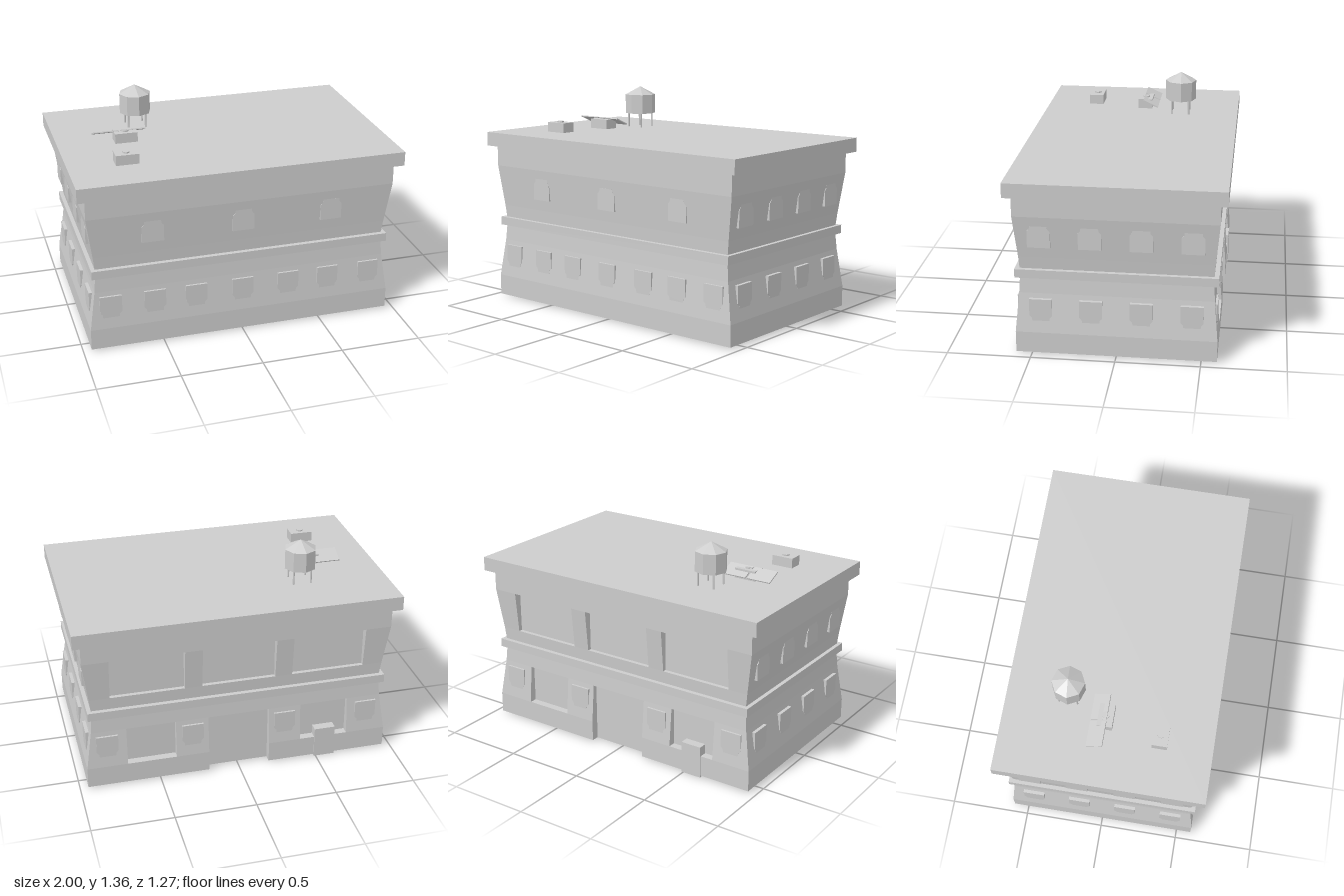
import * as THREE from 'three';

// Wall profile from the ground up: [height, half width, half depth]
const PROFILE = [
  [0.01, 0.95, 0.593], [0.14, 0.95, 0.593], [0.38, 0.914, 0.571], [0.48, 0.905, 0.565],
  [0.53, 0.905, 0.565], [0.61, 0.914, 0.57], [0.87, 0.95, 0.593], [1.0, 0.95, 0.593],
];
const RECESS_Z = -0.545;
// Recesses in the back wall: [x0, x1, first profile row, end row]
const RECESSES = [
  [-0.79, -0.335, 5, 6], [-0.228, 0.228, 5, 6], [0.335, 0.79, 5, 6],
  [-0.7, -0.395, 1, 2], [0.395, 0.7, 1, 2], [-0.192, 0.192, 0, 2],
];

function wallAt(y, col) {
  const k = Math.max(1, PROFILE.findIndex((p) => p[0] >= y));
  const a = PROFILE[k - 1], b = PROFILE[k];
  return THREE.MathUtils.lerp(a[col], b[col], (y - a[0]) / (b[0] - a[0]));
}

function wallGeometry() {
  const pos = [];
  const quad = (a, b, c, d) => pos.push(...a, ...b, ...c, ...a, ...c, ...d);
  const xs = [...new Set(RECESSES.flatMap((r) => [r[0], r[1]]))].sort((a, b) => a - b);
  const n = xs.length + 1;
  const xAt = (i, k) => (i === 0 ? -PROFILE[k][1] : i === n ? PROFILE[k][1] : xs[i - 1]);
  const open = (i, k) => i > 0 && i < n - 1 && RECESSES.some(
    (r) => xs[i - 1] >= r[0] && xs[i] <= r[1] && k >= r[2] && k < r[3]);

  for (let k = 0; k < PROFILE.length - 1; k++) {
    const [y0, w0, d0] = PROFILE[k], [y1, w1, d1] = PROFILE[k + 1];
    // front and both ends
    quad([-w0, y0, d0], [w0, y0, d0], [w1, y1, d1], [-w1, y1, d1]);
    quad([w0, y0, d0], [w0, y0, -d0], [w1, y1, -d1], [w1, y1, d1]);
    quad([-w0, y0, -d0], [-w0, y0, d0], [-w1, y1, d1], [-w1, y1, -d1]);
    // back wall with recesses, jambs, sills and lintels
    for (let i = 0; i < n; i++) {
      const o = open(i, k);
      const z0 = o ? RECESS_Z : -d0, z1 = o ? RECESS_Z : -d1;
      const a = xAt(i, k), b = xAt(i + 1, k), c = xAt(i + 1, k + 1), d = xAt(i, k + 1);
      quad([b, y0, z0], [a, y0, z0], [d, y1, z1], [c, y1, z1]);
      if (i > 0 && open(i - 1, k) !== o) {
        const q = [[a, y0, RECESS_Z], [a, y0, -d0], [a, y1, -d1], [a, y1, RECESS_Z]];
        quad(...(o ? q : q.reverse()));
      }
      if (k > 0 && open(i, k - 1) !== o) {
        const q = [[a, y0, RECESS_Z], [b, y0, RECESS_Z], [b, y0, -d0], [a, y0, -d0]];
        quad(...(o ? q : q.reverse()));
      }
    }
  }
  const g = new THREE.BufferGeometry();
  g.setAttribute('position', new THREE.Float32BufferAttribute(pos, 3));
  g.computeVertexNormals();
  return g;
}

export function createModel() {
  const model = new THREE.Group();
  const gray = new THREE.MeshStandardMaterial({ color: 0xcccccc });
  gray.name = 'light gray';
  const add = (name, geo, x = 0, y = 0, z = 0, parent = model) => {
    const m = new THREE.Mesh(geo, gray);
    m.name = name;
    m.position.set(x, y, z);
    parent.add(m);
    return m;
  };
  const box = (name, x0, x1, y0, y1, z0, z1) => add(name,
    new THREE.BoxGeometry(x1 - x0, y1 - y0, z1 - z0), (x0 + x1) / 2, (y0 + y1) / 2, (z0 + z1) / 2);
  const flat = (geo) => {
    const g = geo.toNonIndexed();
    g.computeVertexNormals();
    return g;
  };

  // Main shell
  add('walls', wallGeometry());
  const floor = new THREE.Shape([
    [-0.95, -0.593], [-0.192, -0.593], [-0.192, RECESS_Z], [0.192, RECESS_Z],
    [0.192, -0.593], [0.95, -0.593], [0.95, 0.593], [-0.95, 0.593],
  ].map((p) => new THREE.Vector2(...p)));
  add('floor', new THREE.ShapeGeometry(floor).rotateX(Math.PI / 2), 0, 0.01, 0);
  box('roof', -1, 1, 1.0, 1.088, -0.635, 0.635);
  box('middleBand', -0.93, 0.93, 0.48, 0.533, -0.593, 0.593);
  box('backDoor', -0.62, -0.488, 0, 0.2, -0.6, -0.54);

  // Upright windows that stand proud of the leaning walls, chamfered where they sink in
  const windowGeometry = (yOut, yIn) => {
    const s = Math.sign(yIn - yOut);
    const shape = new THREE.Shape([
      [-0.067, yOut], [0.067, yOut], [0.067, yIn - s * 0.035],
      [0.053, yIn - s * 0.02], [0.05, yIn], [-0.05, yIn],
      [-0.053, yIn - s * 0.02], [-0.067, yIn - s * 0.035],
    ].map((p) => new THREE.Vector2(...p)));
    return new THREE.ExtrudeGeometry(shape, { depth: 0.04, bevelEnabled: false });
  };
  const upper = windowGeometry(0.68, 0.815), lower = windowGeometry(0.35, 0.21);
  const ends = [-0.443, -0.148, 0.148, 0.443];
  const sides = [
    ['front', 0, 2, [-0.555, 0, 0.555], [-0.82, -0.55, -0.292, 0, 0.292, 0.55, 0.82]],
    ['leftSide', Math.PI / 2, 1, ends, ends],
    ['back', Math.PI, 2, [], [-0.82, -0.292, 0.292, 0.82]],
    ['rightSide', -Math.PI / 2, 1, ends, ends],
  ];
  for (const [name, turn, col, up, low] of sides) {
    const g = new THREE.Group();
    g.name = name + 'Windows';
    g.rotation.y = turn;
    model.add(g);
    up.forEach((u) => add('upperWindow', upper, u, 0, wallAt(0.805, col) + 0.001 - 0.04, g));
    low.forEach((u) => add('lowerWindow', lower, u, 0, wallAt(0.22, col) + 0.001 - 0.04, g));
  }

  // Water tower
  const tower = new THREE.Group();
  tower.name = 'waterTower';
  tower.position.set(-0.463, 0, -0.26);
  model.add(tower);
  const tank = flat(new THREE.CylinderGeometry(0.099, 0.099, 0.125, 8));
  add('tank', tank, 0, 1.2425, 0, tower).rotation.y = 0.07;
  const lid = flat(new THREE.ConeGeometry(0.099, 0.053, 8));
  add('tankLid', lid, 0, 1.3315, 0, tower).rotation.y = 0.07;
  const leg = new THREE.CylinderGeometry(0.006, 0.006, 0.1, 8);
  for (const x of [-0.055, 0.055]) for (const z of [-0.055, 0.055]) add('towerLeg', leg, x, 1.135, z, tower);

  // Rooftop vents
  const cap = flat(new THREE.CylinderGeometry(0.022, 0.022, 0.012, 10));
  for (const [x, z] of [[-0.645, 0.318], [-0.58, -0.02]]) {
    box('vent', x - 0.07, x + 0.07, 1.085, 1.15, z - 0.046, z + 0.046);
    add('ventCap', cap, x, 1.152, z);
  }

  // Pair of tilted roof panels
  for (const [x0, x1] of [[-0.775, -0.62], [-0.608, -0.45]]) {
    const p = box('tiltedPanel', x0, x1, 1.133, 1.14, -0.113, -0.007);
    p.rotation.x = -0.42;
  }
  return model;
}
